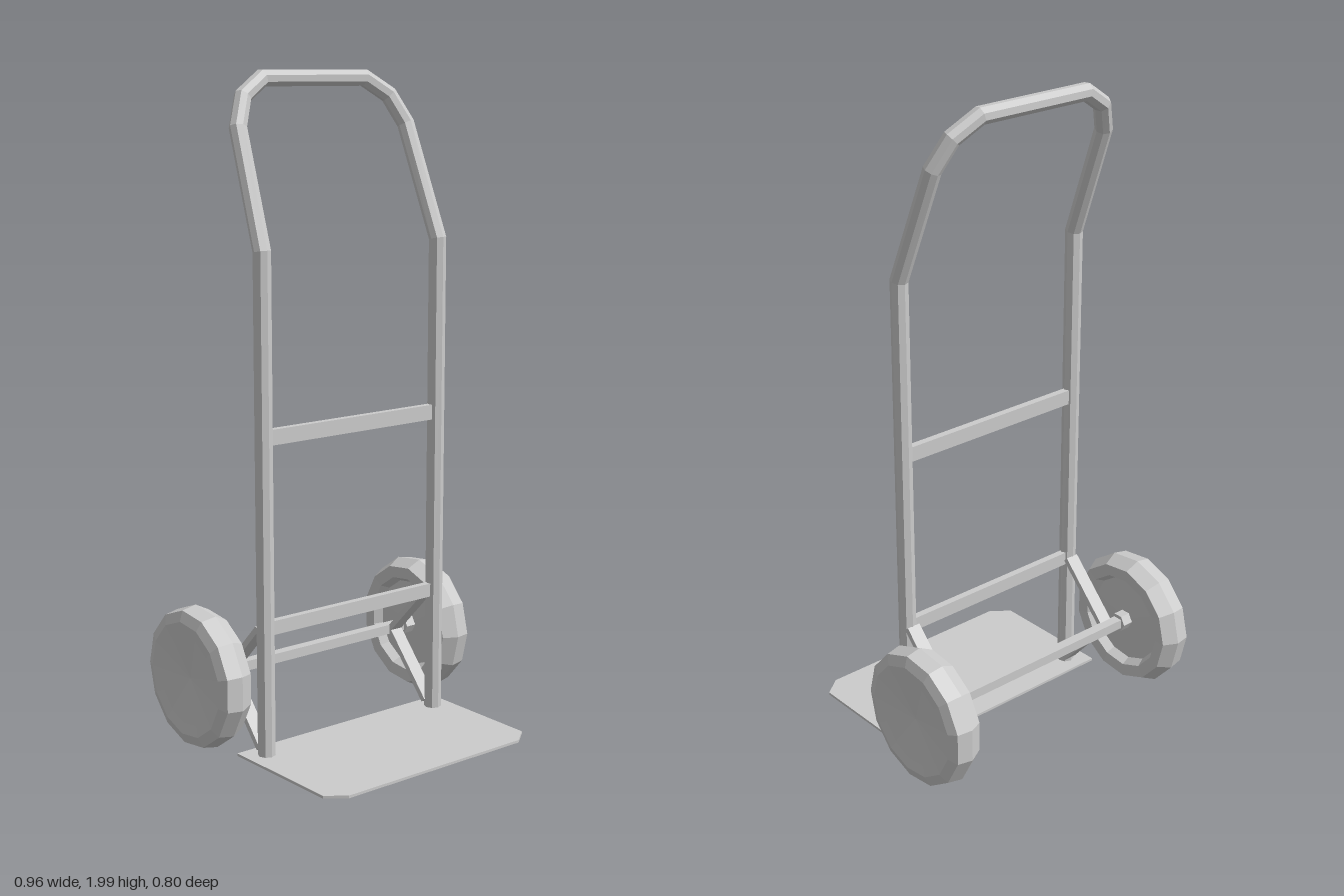
import * as THREE from 'three';

const material = new THREE.MeshStandardMaterial({ color: 0xcccccc, flatShading: true, side: THREE.DoubleSide });

// Straight-segment path whose samples fall exactly on the given points
class Polyline extends THREE.Curve {
  constructor(points) {
    super();
    this.points = points;
  }
  getPointAt(u) {
    return this.points[Math.round(u * (this.points.length - 1))].clone();
  }
  getTangentAt(u) {
    const p = this.points, i = Math.round(u * (p.length - 1));
    const t = new THREE.Vector3();
    if (i > 0) t.add(p[i].clone().sub(p[i - 1]).normalize());
    if (i < p.length - 1) t.add(p[i + 1].clone().sub(p[i]).normalize());
    return t.normalize();
  }
}

export function createModel() {
  const group = new THREE.Group();
  group.name = 'handTruck';

  function add(name, geometry, x = 0, y = 0, z = 0) {
    const mesh = new THREE.Mesh(geometry, material);
    mesh.name = name;
    mesh.position.set(x, y, z);
    group.add(mesh);
    return mesh;
  }

  // Bent tube frame: right leg, leaned-back handle, left leg
  const half = [
    [0.328, 0.012, 0.013], [0.33, 1.5, 0.014], [0.313, 1.84, -0.117],
    [0.272, 1.925, -0.149], [0.19, 1.976, -0.168],
  ];
  const left = half.map(([x, y, z]) => new THREE.Vector3(x, y, z));
  const right = half.map(([x, y, z]) => new THREE.Vector3(-x, y, z)).reverse();
  const path = [...left, ...right];
  add('frame', new THREE.TubeGeometry(new Polyline(path), path.length - 1, 0.0265, 8, false));

  // Cross bars between the legs
  add('upperCrossBar', new THREE.BoxGeometry(0.62, 0.046, 0.022), 0, 0.967, 0.011);
  add('lowerCrossBar', new THREE.BoxGeometry(0.62, 0.042, 0.022), 0, 0.4, 0.011);

  // Toe plate with cut front corners
  const plate = new THREE.Shape();
  plate.moveTo(-0.39, 0.05);
  plate.lineTo(0.39, 0.05);
  plate.lineTo(0.388, -0.355);
  plate.lineTo(0.33, -0.4);
  plate.lineTo(-0.33, -0.4);
  plate.lineTo(-0.388, -0.355);
  const plateGeometry = new THREE.ExtrudeGeometry(plate, { depth: 0.008, bevelEnabled: false });
  plateGeometry.rotateX(-Math.PI / 2);
  add('toePlate', plateGeometry, 0, 0.005, 0);

  // Axle
  const axleY = 0.224, axleZ = -0.186;
  add('axle', new THREE.BoxGeometry(0.8, 0.03, 0.032), 0, axleY, axleZ);

  // Wheel profile from the inner hub over the tread to the dished outer face
  const profile = [
    [0, 0.4], [0.14, 0.405], [0.155, 0.378], [0.193, 0.375], [0.216, 0.42],
    [0.207, 0.468], [0.175, 0.48], [0.14, 0.475], [0, 0.46],
  ].map(([r, x]) => new THREE.Vector2(r, x));

  for (const side of [1, -1]) {
    const prefix = side > 0 ? 'left' : 'right';

    // Flat struts running from the leg to the axle
    for (const [name, y0] of [['UpperStrut', 0.4], ['LowerStrut', 0.03]]) {
      const dy = axleY - y0, dz = axleZ + 0.012 + 0.005;
      const strut = add(prefix + name, new THREE.BoxGeometry(0.044, 0.018, Math.hypot(dy, dz)),
        side * 0.325, y0 + dy / 2, -0.005 + dz / 2);
      strut.rotation.x = Math.atan2(-dy, dz);
    }

    const wheel = new THREE.LatheGeometry(profile, 13);
    wheel.rotateZ(-Math.PI / 2);
    if (side < 0) wheel.rotateY(Math.PI);
    add(prefix + 'Wheel', wheel, 0, axleY, axleZ);

    // Hub on the inner face of the wheel
    const hub = new THREE.CylinderGeometry(0.03, 0.03, 0.04, 6);
    hub.rotateZ(Math.PI / 2);
    add(prefix + 'Hub', hub, side * 0.386, axleY, axleZ);
  }
  return group;
}
